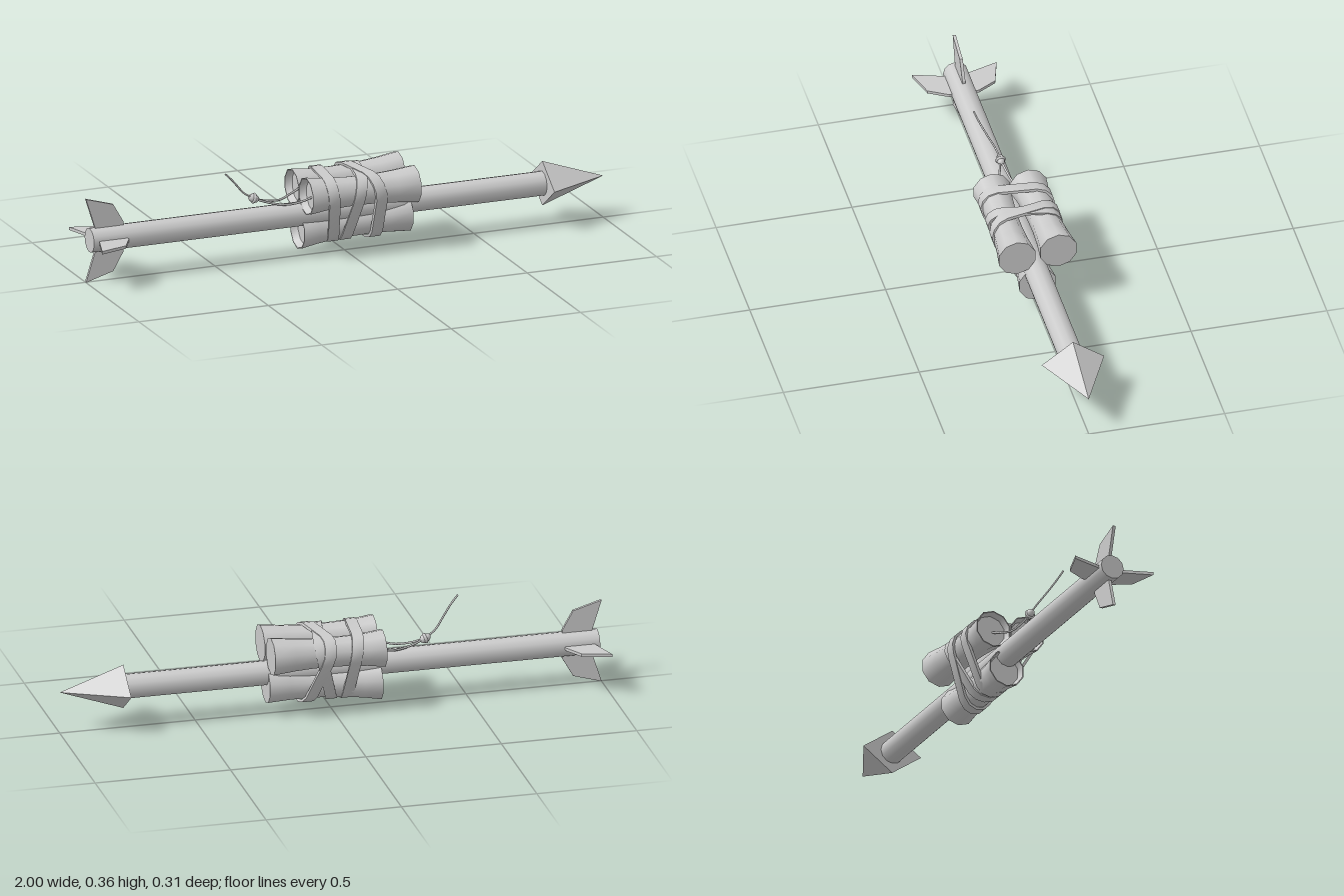
import * as THREE from 'three';
import { toCreasedNormals } from 'three/addons/utils/BufferGeometryUtils.js';

const AXIS = 0.157; // height of the shaft axis
const V = (x, y, z) => new THREE.Vector3(x, y, z);

export function createModel() {
  const model = new THREE.Group();
  const smooth = new THREE.MeshStandardMaterial({ color: 0xcccccc });
  const flat = new THREE.MeshStandardMaterial({ color: 0xcccccc, flatShading: true });
  const add = (name, geometry, material = smooth) => {
    const mesh = new THREE.Mesh(geometry, material);
    mesh.name = name;
    model.add(mesh);
    return mesh;
  };

  // Shift every vertex by an offset that depends on its position
  const warp = (geometry, offset) => {
    const p = geometry.attributes.position;
    for (let i = 0; i < p.count; i++) {
      const v = new THREE.Vector3().fromBufferAttribute(p, i);
      v.add(offset(v));
      p.setXYZ(i, v.x, v.y, v.z);
    }
    return geometry;
  };

  // Shaft
  const shaft = new THREE.CylinderGeometry(0.045, 0.045, 1.765, 12).rotateZ(-Math.PI / 2);
  add('shaft', shaft).position.set(-0.1025, AXIS, 0);

  // Four-sided arrowhead, wider than tall
  const head = new THREE.ConeGeometry(1, 0.235, 4).rotateZ(-Math.PI / 2).scale(1, 0.083, 0.115);
  add('arrowhead', head, flat).position.set(0.8825, AXIS, 0);

  // Four tail fins
  const finShape = new THREE.Shape([
    [-0.965, 0.03], [-0.855, 0.03], [-0.855, 0.055], [-0.895, 0.125], [-1, 0.156], [-0.965, 0.045],
  ].map(([x, y]) => new THREE.Vector2(x, y)));
  const finGeometry = new THREE.ExtrudeGeometry(finShape, { depth: 0.011, bevelEnabled: false });
  finGeometry.translate(0, 0, -0.0055);
  for (let i = 0; i < 4; i++) {
    const fin = add('tailFin', finGeometry, flat);
    fin.position.y = AXIS;
    fin.rotation.x = i * Math.PI / 2;
  }

  // Three pinched sticks, slightly skewed, with a recessed rear end
  const profile = [
    [0, -0.15], [0.058, -0.15], [0.066, -0.175], [0.07, -0.175], [0.061, -0.11], [0.056, -0.03],
    [0.055, 0.03], [0.056, 0.09], [0.061, 0.16], [0.07, 0.24], [0, 0.24],
  ].map(([r, x]) => new THREE.Vector2(r, x));
  const sticks = [
    { rear: V(0, 0.242, 0.066), front: V(0, 0.241, 0.075) },
    { rear: V(0, 0.236, -0.068), front: V(0, 0.248, -0.077) },
    { rear: V(0, 0.091, -0.015), front: V(0, 0.113, 0) },
  ];
  for (const { rear, front } of sticks) {
    const geometry = new THREE.LatheGeometry(profile, 10, Math.PI / 10).rotateZ(-Math.PI / 2);
    warp(geometry, v => rear.clone().lerp(front, (v.x + 0.175) / 0.415));
    add('stick', toCreasedNormals(geometry, 0.7));
  }

  // Outline around the bundle: one 120 degree arc per stick
  const outline = radius => {
    const points = [];
    const arcs = [[0.07, 0.241, -30], [-0.072, 0.242, 90], [-0.007, 0.102, 210]];
    for (const [z, y, start] of arcs) {
      for (let i = 0; i <= 4; i++) {
        const a = THREE.MathUtils.degToRad(start + i * 30);
        points.push(new THREE.Vector2(-(z + radius * Math.cos(a)), y + radius * Math.sin(a)));
      }
    }
    return points;
  };

  // Slanted straps: centre x, slant with height, slant with depth, radius
  const straps = [[-0.07, -0.13, -0.1, 0.063], [0.025, 0.2, -0.2, 0.062], [0.075, -0.2, 0.2, 0.065]];
  for (const [x, slantY, slantZ, radius] of straps) {
    const ring = new THREE.Shape(outline(radius));
    ring.holes.push(new THREE.Path(outline(radius - 0.01)));
    const geometry = new THREE.ExtrudeGeometry(ring, { depth: 0.042, bevelEnabled: false });
    geometry.rotateY(Math.PI / 2);
    warp(geometry, v => V(x - 0.021 + slantY * (v.y - 0.18) + slantZ * v.z, 0, 0));
    add('strap', toCreasedNormals(geometry, 0.7));
  }

  // Fuses from the upper sticks, meeting in a knot with a loose tail
  const cord = (name, points, radius) =>
    add(name, new THREE.TubeGeometry(new THREE.CatmullRomCurve3(points), 20, radius, 6));
  for (const s of [1, -1]) {
    cord('fuse', [V(-0.145, 0.235, 0.06 * s), V(-0.19, 0.218, 0.05 * s), V(-0.24, 0.208, 0.03 * s),
      V(-0.3, 0.217, 0.012 * s - 0.006), V(-0.35, 0.235, -0.008)], 0.004);
  }
  cord('fuseTail', [V(-0.34, 0.232, -0.01), V(-0.385, 0.258, 0), V(-0.425, 0.3, 0.025),
    V(-0.455, 0.333, 0.043), V(-0.485, 0.362, 0.056)], 0.0035);
  const knot = add('fuseKnot', new THREE.SphereGeometry(0.016, 8, 6).scale(1.4, 1, 1));
  knot.position.set(-0.347, 0.234, -0.009);
  knot.rotation.z = -0.5;
  const loop = add('knotLoop', new THREE.TorusGeometry(0.014, 0.006, 6, 10).rotateY(Math.PI / 2));
  loop.position.copy(knot.position);
  loop.rotation.z = -0.3;

  return model;
}
